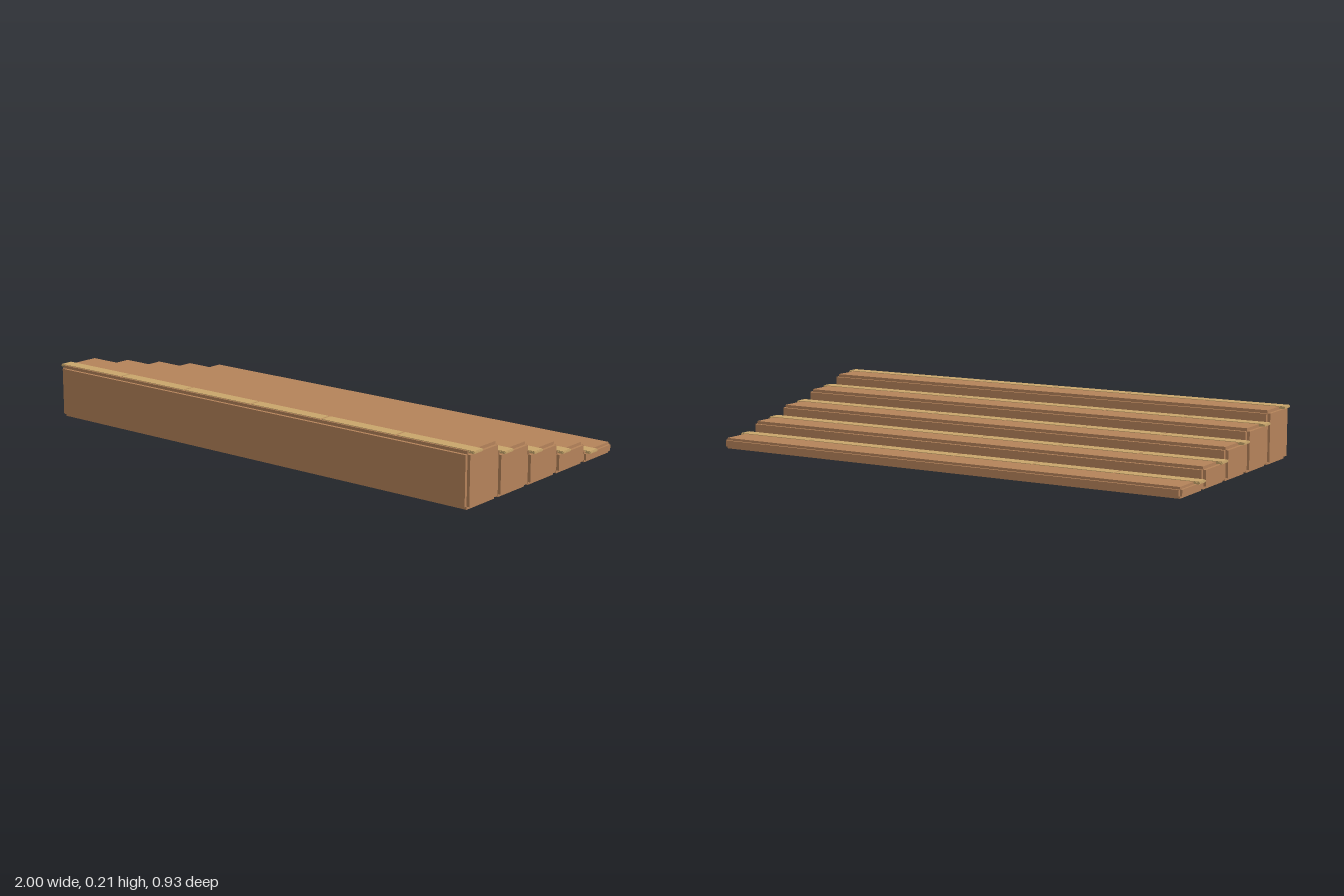
import * as THREE from 'three';
import { mergeGeometries } from 'three/addons/utils/BufferGeometryUtils.js';

// Block with rebated edges: three crossed boxes, each full size along one axis
function rebatedBlock(w, h, d, b) {
  const i = 2 * b;
  return mergeGeometries([
    new THREE.BoxGeometry(w, h - i, d - i),
    new THREE.BoxGeometry(w - i, h, d - i),
    new THREE.BoxGeometry(w - i, h - i, d),
  ]);
}

export function createModel() {
  const wood = new THREE.MeshStandardMaterial({ color: 0xb5835a });
  wood.name = 'brown wood';
  const paleWood = new THREE.MeshStandardMaterial({ color: 0xc9a66b });
  paleWood.name = 'pale wood';

  const group = new THREE.Group();
  group.name = 'steps';
  const count = 5, rise = 0.0413, pitch = 0.1855;
  const pieces = 6, pieceLength = 2 / pieces;

  for (let s = 0; s < count; s++) {
    // Lowest step at the back, highest at the front
    const height = rise * (s + 1);
    const z = (s - (count - 1) / 2) * pitch;
    const bevel = s === 0 ? 0.009 : 0.0115;

    const step = new THREE.Mesh(rebatedBlock(1.974, height, 0.187, bevel), wood);
    step.name = `step${s + 1}`;
    step.position.set(0, height / 2, z);
    group.add(step);

    // Pale inlaid strip in six pieces, slightly proud of the tread
    const strip = new THREE.Group();
    strip.name = `treadStrip${s + 1}`;
    for (let p = 0; p < pieces; p++) {
      const piece = new THREE.Mesh(rebatedBlock(pieceLength - 0.004, 0.01, 0.054, 0.0025), paleWood);
      piece.name = `stripPiece${p + 1}`;
      piece.position.x = -1 + pieceLength * (p + 0.5);
      strip.add(piece);
    }
    strip.scale.x = 1 / 0.998;
    strip.position.set(0, height - 0.003, z + 0.051);
    group.add(strip);
  }
  return group;
}
